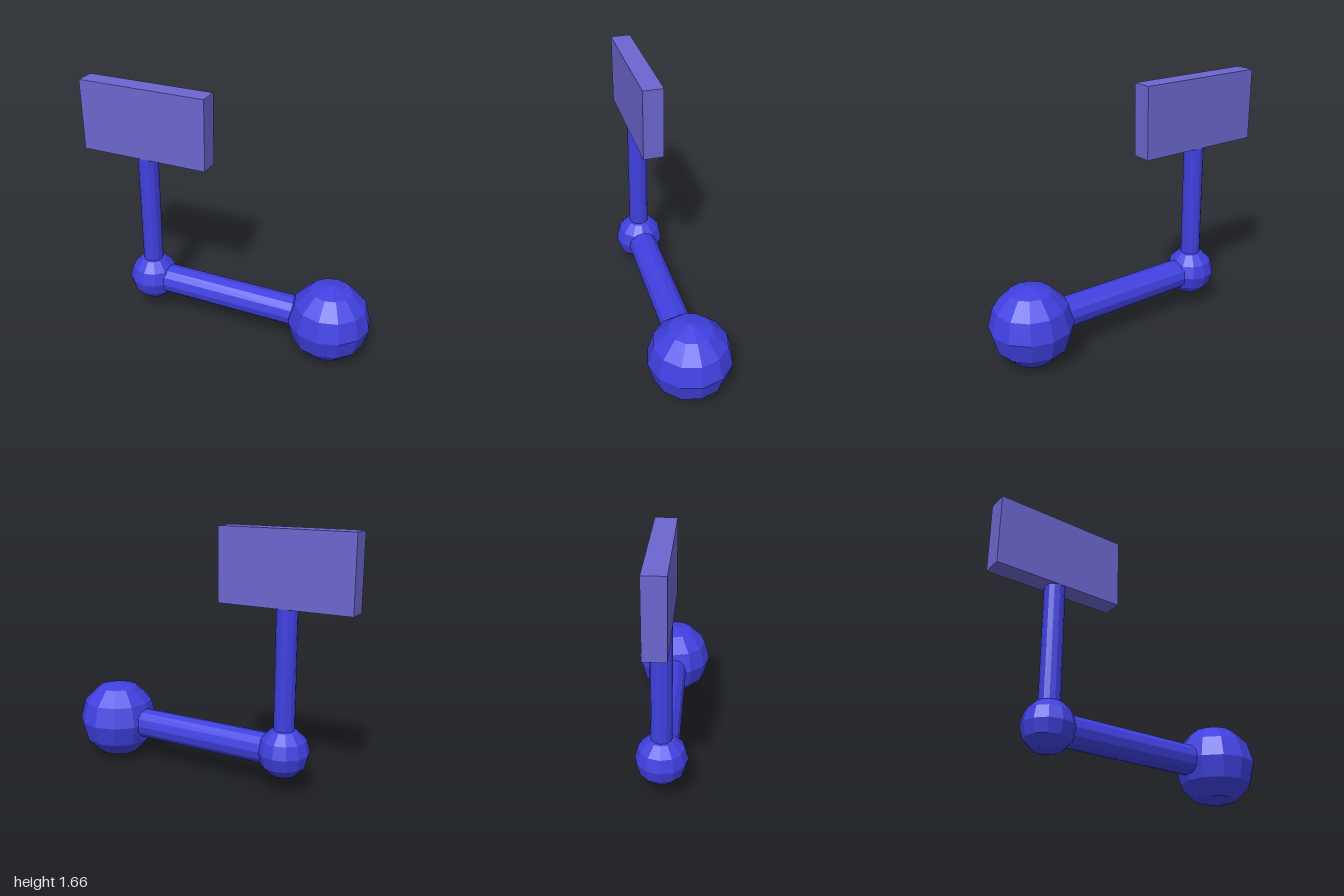
import * as THREE from 'three';

export function createModel() {
  const group = new THREE.Group();
  const blue = new THREE.MeshStandardMaterial({ color: 0x4040e0 });
  const lilac = new THREE.MeshStandardMaterial({ color: 0x6b66cf });
  blue.name = 'deep blue';
  lilac.name = 'soft lilac';
  blue.flatShading = lilac.flatShading = true;

  const AXIS_Y = 0.273; // height of the horizontal bar
  const POST_X = -0.562;
  const BALL_X = 0.728;

  function add(name, geometry, material, x, y) {
    const mesh = new THREE.Mesh(geometry, material);
    mesh.name = name;
    mesh.position.set(x, y, 0);
    group.add(mesh);
    return mesh;
  }

  // Large weight and small joint, both faceted balls
  add('largeBall', new THREE.SphereGeometry(0.268, 12, 6), blue, BALL_X, AXIS_Y);
  add('jointBall', new THREE.SphereGeometry(0.166, 12, 6), blue, POST_X, AXIS_Y);

  // Horizontal bar between the ball centres
  const bar = add('bar', new THREE.CylinderGeometry(0.1, 0.1, BALL_X - POST_X, 12),
    blue, (BALL_X + POST_X) / 2, AXIS_Y);
  bar.rotation.z = Math.PI / 2;

  // Upright post from the joint to the panel
  const panelBottom = 1.19, panelTop = 1.664;
  add('post', new THREE.CylinderGeometry(0.067, 0.067, panelBottom + 0.005 - AXIS_Y, 12),
    blue, POST_X, (panelBottom + 0.005 + AXIS_Y) / 2);

  // Rectangular panel
  add('panel', new THREE.BoxGeometry(0.88, panelTop - panelBottom, 0.134),
    lilac, -0.56, (panelTop + panelBottom) / 2);

  return group;
}
